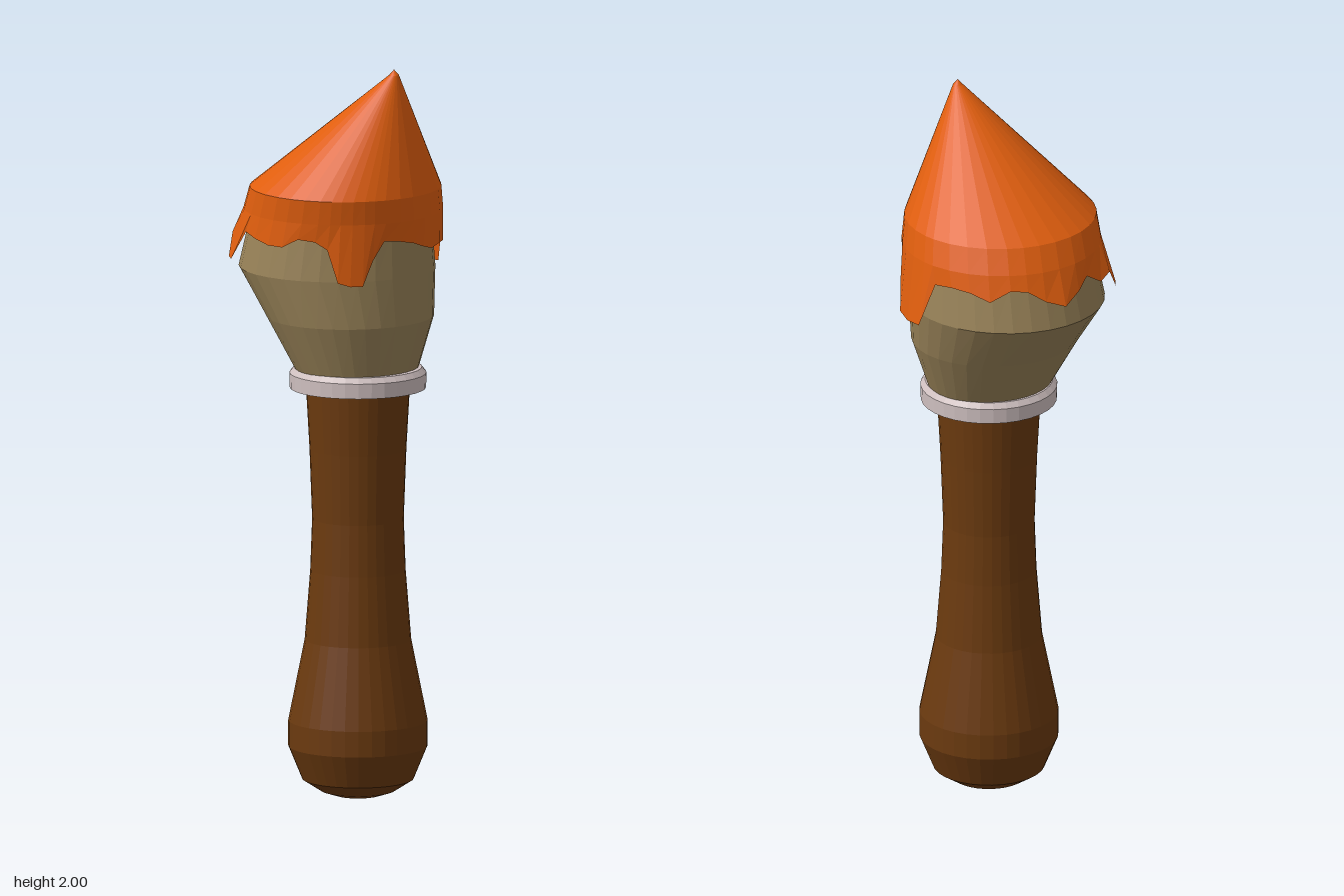
import * as THREE from 'three';

const SIDES = 32;
const material = (name, color, side = THREE.FrontSide) =>
  Object.assign(new THREE.MeshStandardMaterial({ color, flatShading: true, side }), { name });

// Skin equal-length rings of [x, y, z], listed from bottom to top and counter-clockwise from above
function loft(rings) {
  const n = rings[0].length;
  const index = [];
  for (let j = 0; j < rings.length - 1; j++) {
    for (let i = 0; i < n; i++) {
      const a = j * n + i, b = j * n + (i + 1) % n;
      index.push(a, b, b + n, a, b + n, a + n);
    }
  }
  const geometry = new THREE.BufferGeometry();
  geometry.setAttribute('position', new THREE.Float32BufferAttribute(rings.flat(2), 3));
  geometry.setIndex(index);
  geometry.computeVertexNormals();
  return geometry;
}

const lathe = points => new THREE.LatheGeometry(points.map(p => new THREE.Vector2(...p)), SIDES);

export function createModel() {
  const wood = material('brown wood', 0x6b3a0f);
  const metal = material('pale metal', 0xcfc0c0);
  const hair = material('tan hair', 0x988258);
  const paint = material('orange paint', 0xe05e0e, THREE.DoubleSide);

  const brush = new THREE.Group();
  brush.name = 'paintbrush';
  const add = (name, geometry, mat, x = 0, z = 0) => {
    const mesh = new THREE.Mesh(geometry, mat);
    mesh.name = name;
    mesh.position.set(x, 0, z);
    brush.add(mesh);
  };

  // Turned handle with a rounded butt
  add('handle', lathe([
    [0, 0], [0.06, 0.005], [0.1, 0.018], [0.15, 0.05], [0.187, 0.14], [0.187, 0.21],
    [0.143, 0.43], [0.128, 0.62], [0.123, 0.76], [0.13, 0.95], [0.14, 1.13], [0, 1.13],
  ]), wood, -0.013, 0.07);

  // Collar between handle and bristles
  add('collar', lathe([
    [0.13, 1.117], [0.183, 1.117], [0.184, 1.158], [0.172, 1.173], [0, 1.173],
  ]), metal, -0.013, 0.07);

  // Bristle bundle, swelling towards the back: y, centre x, centre z, radius x, radius z
  const bristleRings = [
    [1.165, -0.013, 0.067, 0.17, 0.157],
    [1.31, -0.012, 0.04, 0.23, 0.22],
    [1.44, -0.012, -0.01, 0.263, 0.265],
    [1.56, -0.012, 0.003, 0.247, 0.245],
    [1.64, -0.015, 0.03, 0.22, 0.22],
    [1.92, -0.01, 0.19, 0.01, 0.01],
  ].map(([y, cx, cz, rx, rz]) => Array.from({ length: SIDES }, (_, i) => {
    const a = i / SIDES * Math.PI * 2;
    return [cx + rx * Math.sin(a), y, cz + rz * Math.cos(a)];
  }));
  add('bristles', loft(bristleRings), hair);

  // Paint hem: angle from the front, height of the edge, radius of the edge
  const hem = [
    [0, 1.535, 0.275], [9, 1.52, 0.275], [17, 1.51, 0.276], [30, 1.515, 0.275], [43, 1.51, 0.275],
    [50, 1.55, 0.268], [60, 1.5, 0.278], [70, 1.43, 0.29], [81, 1.425, 0.293], [92, 1.43, 0.294],
    [99, 1.55, 0.265], [111, 1.555, 0.265], [123, 1.55, 0.266], [135, 1.53, 0.272],
    [147, 1.56, 0.264], [157, 1.555, 0.266], [167, 1.525, 0.277], [178, 1.505, 0.29],
    [190, 1.53, 0.276], [200, 1.555, 0.266], [212, 1.52, 0.28], [222, 1.53, 0.29],
    [231, 1.47, 0.302], [238, 1.47, 0.302], [247, 1.55, 0.275], [258, 1.54, 0.276],
    [270, 1.53, 0.278], [280, 1.53, 0.278], [290, 1.555, 0.276], [300, 1.55, 0.274],
    [307, 1.53, 0.274], [313, 1.44, 0.276], [320, 1.43, 0.277], [327, 1.43, 0.277],
    [333, 1.5, 0.276], [340, 1.55, 0.274], [350, 1.545, 0.275],
  ];
  const paintRing = (y, cx, cz, rx, rz) => hem.map(([deg]) => {
    const a = THREE.MathUtils.degToRad(deg);
    return [cx + rx * Math.sin(a), y, cz + rz * Math.cos(a)];
  });
  const edge = hem.map(([deg, y, r]) => {
    const a = THREE.MathUtils.degToRad(deg);
    return [-0.008 + r * Math.sin(a), y, r * Math.cos(a)];
  });
  add('paintCap', loft([
    edge,
    paintRing(1.6, -0.014, 0.016, 0.268, 0.268),
    paintRing(1.665, -0.025, 0.035, 0.26, 0.255),
    paintRing(1.985, -0.01, 0.203, 0.013, 0.013),
    paintRing(2, -0.01, 0.203, 0, 0),
  ]), paint);

  return brush;
}
